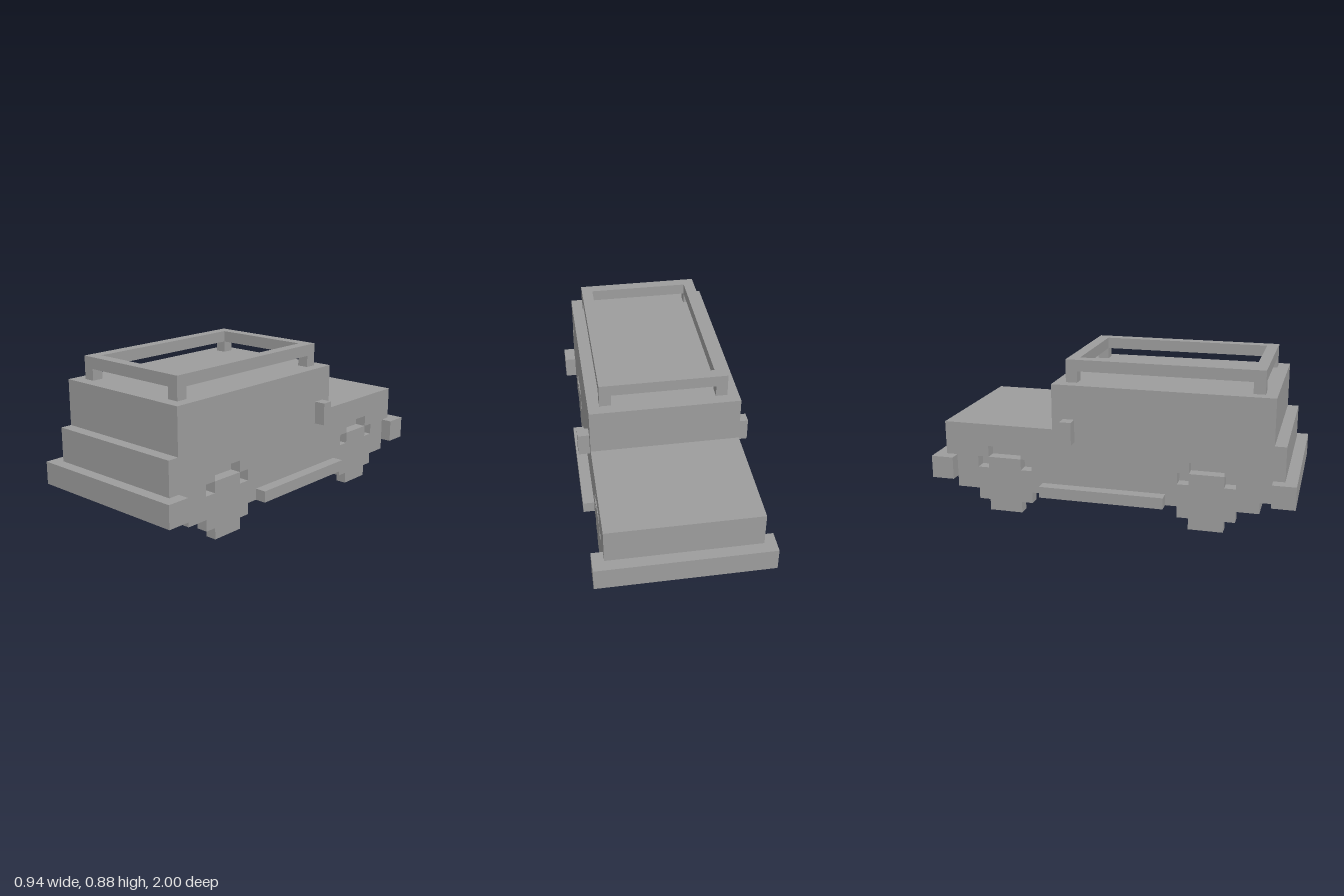
import * as THREE from 'three';

const U = 1 / 16; // one block
const material = new THREE.MeshStandardMaterial({ color: 0x9d9d9d, flatShading: true });

function add(parent, name, geometry) {
  const mesh = new THREE.Mesh(geometry, material);
  mesh.name = name;
  parent.add(mesh);
}

// Box from its limits, in blocks
function block(parent, name, x0, x1, y0, y1, z0, z1) {
  const g = new THREE.BoxGeometry((x1 - x0) * U, (y1 - y0) * U, (z1 - z0) * U);
  g.translate((x0 + x1) / 2 * U, (y0 + y1) / 2 * U, (z0 + z1) / 2 * U);
  add(parent, name, g);
}

const toPoints = (list) => list.map(([a, b]) => new THREE.Vector2(a * U, b * U));

// Side outline of [z, y] corners, extruded across x from x0 to x1
function sidePlate(parent, name, outline, x0, x1) {
  const g = new THREE.ExtrudeGeometry(new THREE.Shape(toPoints(outline)),
    { depth: (x1 - x0) * U, bevelEnabled: false });
  g.rotateY(-Math.PI / 2);
  g.translate(x1 * U, 0, 0);
  add(parent, name, g);
}

export function createModel() {
  const car = new THREE.Group();
  car.name = 'car';
  const axles = [-9.5, 8.5];

  // Stepped body outline above the floor: bumper ends, bonnet and cabin
  const upper = [[13, 2], [13, 3], [15, 3], [15, 8], [14, 8], [14, 12],
    [-5, 12], [-5, 8], [-15, 8], [-15, 3], [-14, 3], [-14, 2]];
  // Wheel arch openings, cut only into the outer panels
  const arches = axles.flatMap((c) => [[c - 2.5, 2], [c - 2.5, 5], [c - 1.5, 5], [c - 1.5, 6],
    [c + 1.5, 6], [c + 1.5, 5], [c + 2.5, 5], [c + 2.5, 2]]);
  sidePlate(car, 'bodyCore', upper, -5.5, 5.5);

  for (const [side, s] of [['left', 1], ['right', -1]]) {
    const span = (a, b) => (s > 0 ? [a, b] : [-b, -a]);
    const [p0, p1] = span(5.5, 6.5);
    const [o0, o1] = span(6.5, 7.5);
    sidePlate(car, side + 'BodyPanel', [...upper, ...arches], p0, p1);

    // Stepped round wheels
    axles.forEach((c, i) => {
      const wheel = [[-1.5, 0], [1.5, 0], [1.5, 1], [2.5, 1], [2.5, 4], [1.5, 4],
        [1.5, 5], [-1.5, 5], [-1.5, 4], [-2.5, 4], [-2.5, 1], [-1.5, 1]];
      sidePlate(car, side + (i ? 'Front' : 'Back') + 'Wheel',
        wheel.map(([z, y]) => [z + c, y]), p0, p1);
    });

    block(car, side + 'RunningBoard', o0, o1, 2, 3, -6, 5);
    block(car, side + 'Mirror', o0, o1, 7, 9, -4, -3);
  }

  // Bumpers
  block(car, 'frontBumper', -7.5, 7.5, 3, 5, 14, 16);
  block(car, 'backBumper', -7.5, 7.5, 3, 5, -16, -14);

  // Roof rack: rectangular rail on four short legs
  const rack = new THREE.Group();
  rack.name = 'roofRack';
  car.add(rack);
  const rail = new THREE.Shape(toPoints([[-5.5, -4], [5.5, -4], [5.5, 13], [-5.5, 13]]));
  rail.holes.push(new THREE.Path(toPoints([[-4.5, -3], [-4.5, 12], [4.5, 12], [4.5, -3]])));
  const railGeometry = new THREE.ExtrudeGeometry(rail, { depth: U, bevelEnabled: false });
  railGeometry.rotateX(Math.PI / 2);
  railGeometry.translate(0, 14 * U, 0);
  add(rack, 'rackRail', railGeometry);
  for (const x of [-5.5, 4.5]) {
    for (const z of [-4, 12]) block(rack, 'rackLeg', x, x + 1, 12, 13, z, z + 1);
  }
  return car;
}
